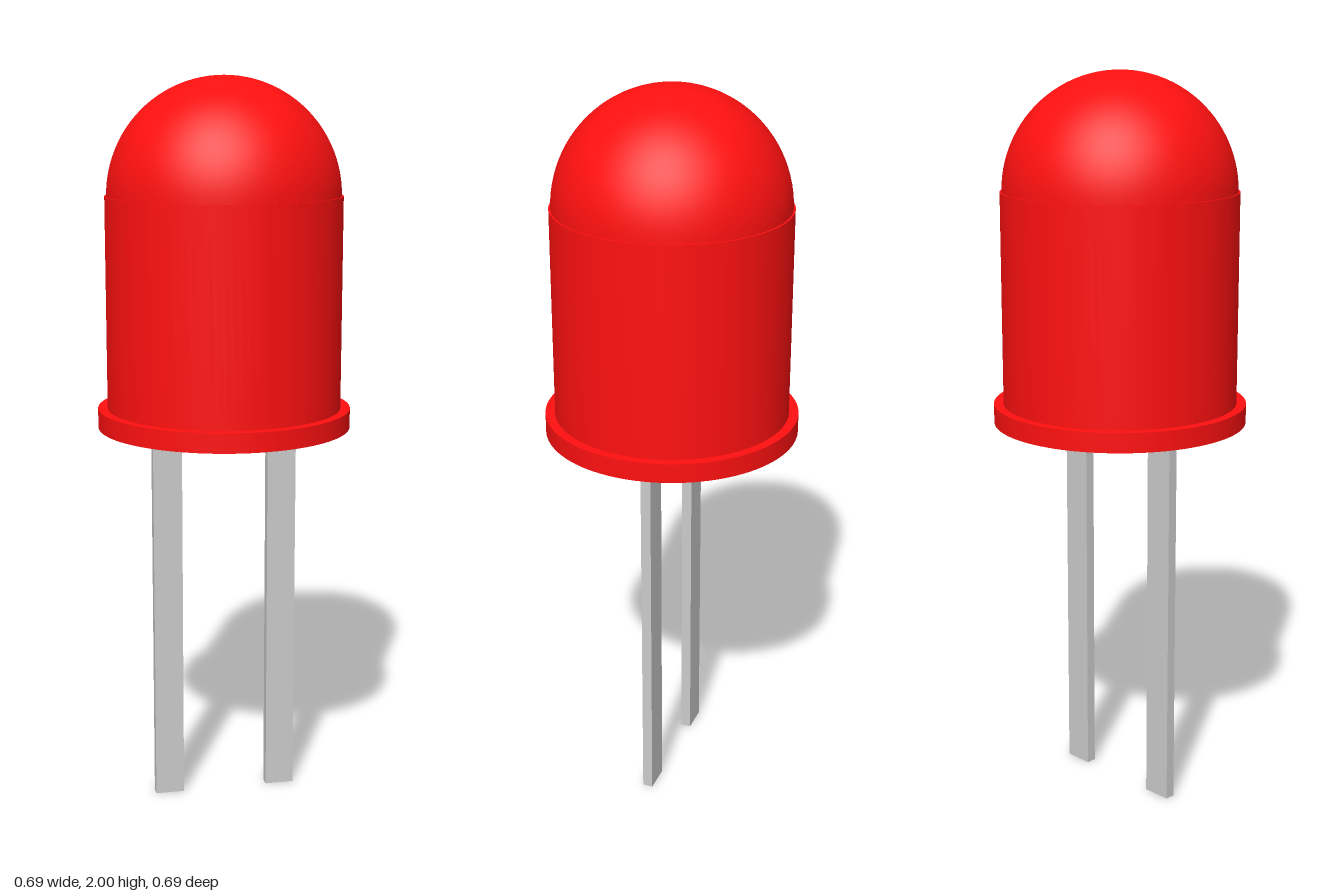
import * as THREE from 'three';
import { toCreasedNormals } from 'three/addons/utils/BufferGeometryUtils.js';

export function createModel() {
  const model = new THREE.Group();
  model.name = 'lightEmittingDiode';
  const red = new THREE.MeshStandardMaterial({ color: 0xff1010 });
  const grey = new THREE.MeshStandardMaterial({ color: 0xcccccc });

  // Lens: flange, straight barrel and a dome set in by a hair, turned as one profile
  const flangeBottom = 1.065, flangeTop = 1.118, flangeRadius = 0.343;
  const barrelRadius = 0.317, domeRadius = 0.312, domeBase = 2 - domeRadius;
  const profile = [
    [0, flangeBottom], [flangeRadius, flangeBottom], [flangeRadius, flangeTop],
    [barrelRadius, flangeTop], [barrelRadius, domeBase],
  ].map(([r, y]) => new THREE.Vector2(r, y));
  const steps = 24;
  for (let i = 0; i <= steps; i++) {
    const a = (i / steps) * Math.PI / 2;
    profile.push(new THREE.Vector2(i === steps ? 0 : domeRadius * Math.cos(a), domeBase + domeRadius * Math.sin(a)));
  }
  const lens = new THREE.Mesh(toCreasedNormals(new THREE.LatheGeometry(profile, 96), 0.6), red);
  lens.name = 'lens';
  model.add(lens);

  // Two flat leads of equal length
  for (const [name, side] of [['leftLead', 1], ['rightLead', -1]]) {
    const lead = new THREE.Mesh(new THREE.BoxGeometry(0.08, flangeBottom, 0.028), grey);
    lead.name = name;
    lead.position.set(side * 0.16, flangeBottom / 2, 0);
    model.add(lead);
  }
  return model;
}
